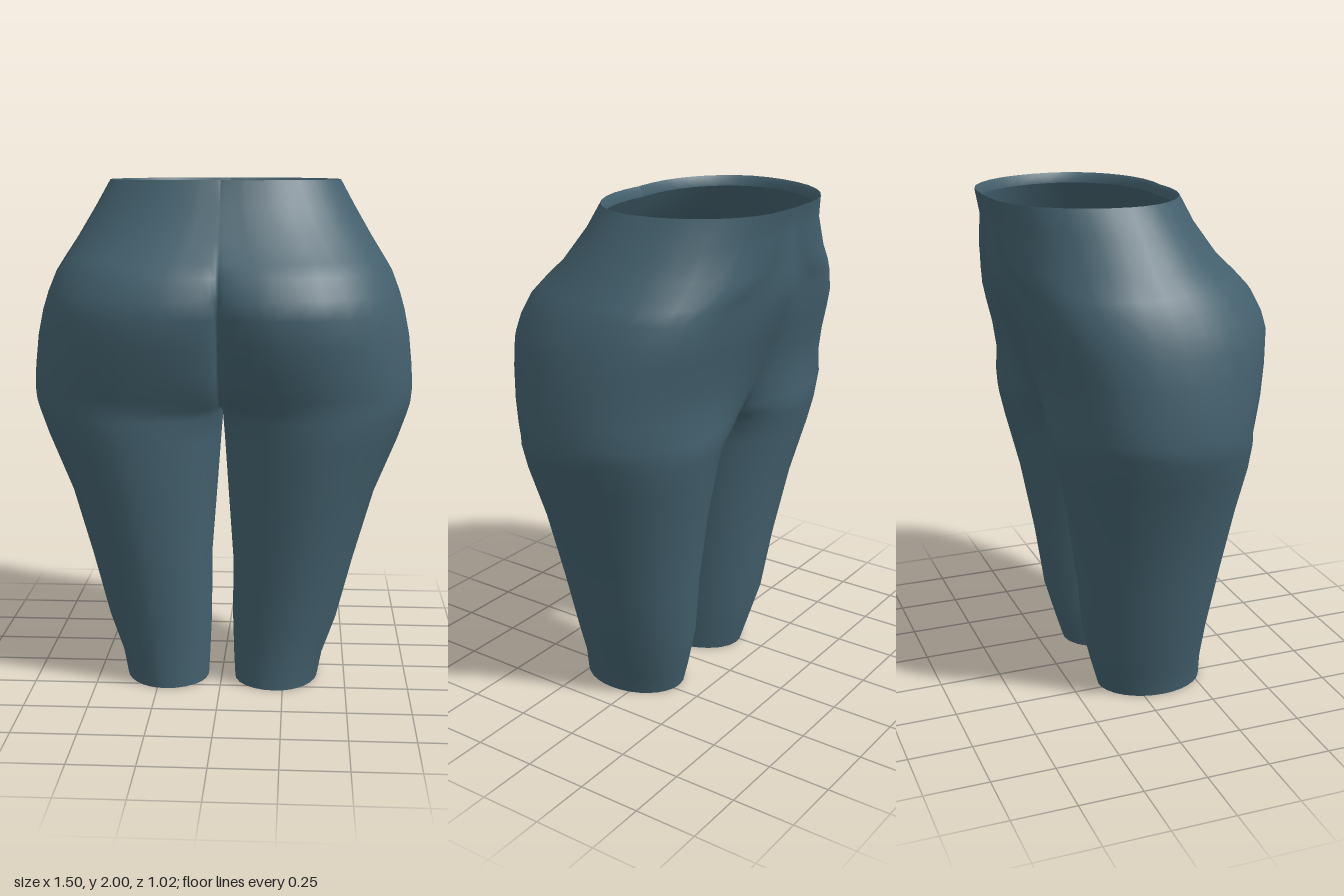
import * as THREE from 'three';
import { mergeVertices } from 'three/addons/utils/BufferGeometryUtils.js';

// Sections of one side: height, inner x, x of front peak, x of back peak, outer x,
// middle z, front z, back z, front z and back z of the inner wall
const LEG = [
  [0, .055, .22, .22, .39, .08, .295, -.14, .13, .1],
  [.1, .05, .23, .23, .41, .07, .295, -.17, .13, .09],
  [.25, .045, .25, .25, .465, .06, .305, -.21, .12, .06],
  [.5, .045, .28, .28, .53, .05, .34, -.24, .11, .04],
  [.78, .025, .32, .32, .61, .04, .38, -.285, .1, 0],
  [1, .01, .35, .35, .7, .04, .41, -.335, .1, -.03],
  [1.1, .004, .36, .36, .735, .04, .415, -.355, .13, -.1],
];
const PELVIS = [
  [1.14, 0, .34, .36, .747, .04, .415, -.36, .2, -.2],
  [1.19, 0, .32, .37, .752, .04, .43, -.36, .28, -.29],
  [1.28, 0, .28, .38, .747, .04, .462, -.352, .34, -.338],
  [1.4, 0, .24, .38, .735, .03, .492, -.37, .385, -.385],
  [1.5, 0, .22, .38, .715, .02, .508, -.395, .43, -.43],
  [1.57, 0, .2, .38, .695, .005, .495, -.41, .44, -.46],
  [1.65, 0, .19, .34, .665, -.02, .455, -.425, .43, -.488],
  [1.7, 0, .18, .28, .635, -.035, .41, -.44, .4, -.497],
  [1.78, 0, .14, .15, .585, -.06, .335, -.475, .335, -.5],
  [1.9, 0, .1, .11, .515, -.08, .255, -.48, .255, -.49],
  [2, 0, .09, .09, .46, -.1, .205, -.505, .2, -.51],
];

// One closed section: outer half, back inner quarter, inner wall, front inner quarter
function section([y, xi, cf, cb, xo, cz, zf, zb, sf, sb]) {
  const pts = [];
  const flank = y > 1.15 && y < 1.75 ? .85 : 1; // hips are squarer towards the belly
  const ease = y > 1.15 ? 2 : 1; // belly meets the centre without a crease
  for (let i = 0; i < 16; i++) {
    const a = i / 16 * Math.PI, c = Math.cos(a), cx = c > 0 ? cf : cb;
    const z = c > 0 ? c * (zf - cz) : Math.pow(-c, flank) * (zb - cz);
    pts.push([cx + (xo - cx) * Math.sin(a), y, cz + z]);
  }
  for (let i = 0; i < 6; i++) {
    const a = i / 6 * Math.PI / 2;
    pts.push([cb - (cb - xi) * Math.sin(a), y, sb + (zb - sb) * Math.pow(Math.cos(a), ease)]);
  }
  for (let i = 0; i < 6; i++) pts.push([xi, y, sb + (sf - sb) * i / 6]);
  for (let i = 6; i >= 0; i--) {
    const a = i / 6 * Math.PI / 2;
    pts.push([cf - (cf - xi) * Math.sin(a), y, sf + (zf - sf) * Math.cos(a)]);
  }
  return pts;
}

// Loft the sections on both sides, leaving the centre plane open
function loft(rows) {
  const rings = rows.map(section), pos = [];
  const tri = (a, b, c) => {
    if (a[0] + b[0] + c[0] < 1e-6) return;
    pos.push(...a, ...b, ...c);
    for (const p of [a, c, b]) pos.push(-p[0], p[1], p[2]);
  };
  for (let r = 0; r < rings.length - 1; r++) {
    const lo = rings[r], hi = rings[r + 1];
    for (let i = 0; i < lo.length - 1; i++) {
      tri(lo[i], lo[i + 1], hi[i + 1]);
      tri(lo[i], hi[i + 1], hi[i]);
    }
  }
  const g = new THREE.BufferGeometry();
  g.setAttribute('position', new THREE.Float32BufferAttribute(pos, 3));
  const merged = mergeVertices(g, 1e-4);
  merged.computeVertexNormals();
  return merged;
}

// The same section pulled inwards by t, at another height
function inset([, xi, cf, cb, xo, cz, zf, zb, sf, sb], y, t) {
  const wall = xi ? [sf, sb] : [sf - t, sb + t];
  return [y, xi ? xi + t : 0, cf, cb, xo - t, cz, zf - t, zb + t, ...wall];
}

export function createModel() {
  const group = new THREE.Group();
  const fabric = new THREE.MeshStandardMaterial({ color: 0x43606d, side: THREE.DoubleSide });
  const add = (name, rows) => {
    const mesh = new THREE.Mesh(loft(rows), fabric);
    mesh.name = name;
    group.add(mesh);
  };

  // Hips and both legs as one smooth hollow shell
  add('hipsAndLegs', [...LEG, ...PELVIS]);

  // Thin turned-in edges at the waist and the leg openings
  const top = PELVIS[PELVIS.length - 1], hem = LEG[0];
  add('waistRim', [top, inset(top, 1.985, .012), inset(top, 1.96, .015)]);
  add('legRims', [inset(hem, .03, .01), inset(hem, .01, .008), hem]);
  return group;
}
